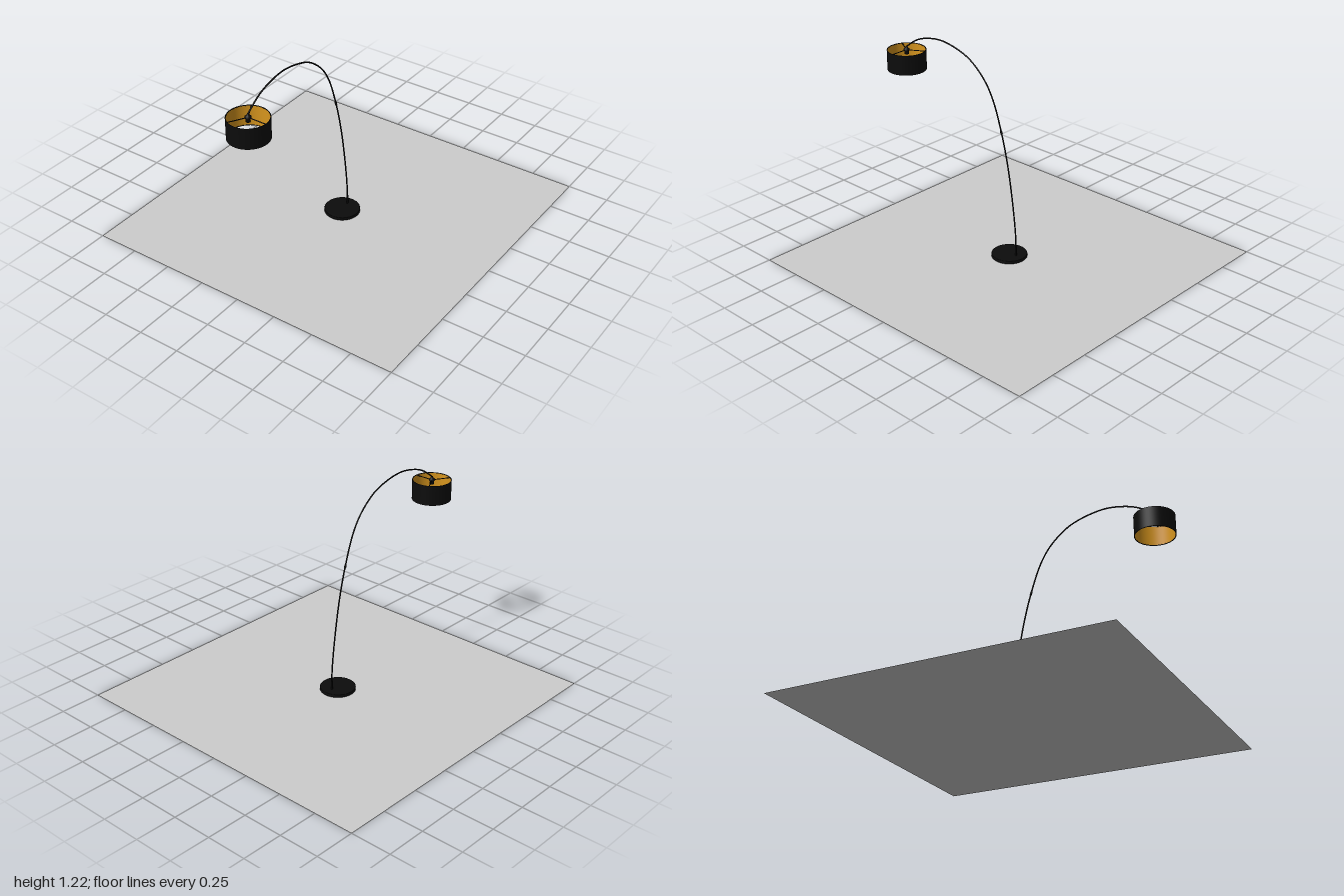
import * as THREE from 'three';

export function createModel() {
  const model = new THREE.Group();
  const black = new THREE.MeshStandardMaterial({ name: 'black metal', color: 0x0c0c0c });
  const gold = new THREE.MeshStandardMaterial({ name: 'gold lining', color: 0xd6951e, side: THREE.DoubleSide });
  const grey = new THREE.MeshStandardMaterial({ name: 'grey floor', color: 0xcccccc, side: THREE.DoubleSide });

  const add = (name, geometry, material, parent = model, x = 0, y = 0, z = 0) => {
    const mesh = new THREE.Mesh(geometry, material);
    mesh.name = name;
    mesh.position.set(x, y, z);
    parent.add(mesh);
    return mesh;
  };

  // Flat square floor
  add('floor', new THREE.PlaneGeometry(2, 2).rotateX(-Math.PI / 2), grey);

  // Round foot with softened edges
  const foot = [[0, 0.003], [0.103, 0.003], [0.106, 0.006], [0.106, 0.021], [0.103, 0.024], [0, 0.024]];
  add('base', new THREE.LatheGeometry(foot.map(p => new THREE.Vector2(...p)), 64), black);

  // Arched pole in two sections, given as [z, y]
  const arc = [
    [-0.053, 0.02], [-0.05, 0.15], [-0.021, 0.39], [0.016, 0.6], [0.064, 0.786],
    [0.128, 0.963], [0.193, 1.064], [0.3, 1.155], [0.406, 1.197], [0.545, 1.218],
    [0.674, 1.198], [0.754, 1.166], [0.838, 1.107],
  ].map(([z, y]) => new THREE.Vector3(0, y, z));
  const path = new THREE.CatmullRomCurve3(arc);
  add('pole', new THREE.TubeGeometry(path, 120, 0.0043, 12), black);

  // Sleeves at the foot and at the joint between the pole sections
  add('footSleeve', new THREE.CylinderGeometry(0.006, 0.006, 0.06, 16), black, model, 0, 0.05, -0.0525);
  const joint = add('jointSleeve', new THREE.CylinderGeometry(0.0065, 0.0065, 0.02, 16), black, model, 0, 0.782, 0.063);
  joint.rotation.x = 0.28;

  // Drum shade, open above and below
  const shade = new THREE.Group();
  shade.name = 'shade';
  shade.position.set(0, 0.966, 0.838);
  model.add(shade);
  const R = 0.118, H = 0.124;
  add('shadeOuter', new THREE.CylinderGeometry(R, R, H, 64, 1, true), black, shade, 0, H / 2);
  add('shadeLining', new THREE.CylinderGeometry(R - 0.003, R - 0.003, H, 64, 1, true), gold, shade, 0, H / 2);
  for (const [name, y] of [['lowerRim', 0.002], ['upperRim', H - 0.002]]) {
    add(name, new THREE.TorusGeometry(R - 0.002, 0.0025, 8, 64).rotateX(Math.PI / 2), black, shade, 0, y);
  }

  // Three spokes carrying the shade from its hub
  for (let i = 0; i < 3; i++) {
    const spoke = new THREE.Group();
    spoke.name = 'spoke';
    spoke.rotation.y = i * Math.PI * 2 / 3;
    shade.add(spoke);
    const rod = new THREE.CylinderGeometry(0.0028, 0.0028, R - 0.003, 8).rotateZ(Math.PI / 2);
    add('spokeRod', rod, black, spoke, R / 2, H - 0.004);
  }

  // Hub and lamp socket
  const hub = [[0, 0.095], [0.013, 0.095], [0.013, 0.115], [0.018, 0.118], [0.018, 0.126], [0.012, 0.132], [0.005, 0.136], [0.005, 0.143], [0, 0.143]];
  add('hub', new THREE.LatheGeometry(hub.map(p => new THREE.Vector2(...p)), 24), black, shade);

  return model;
}
